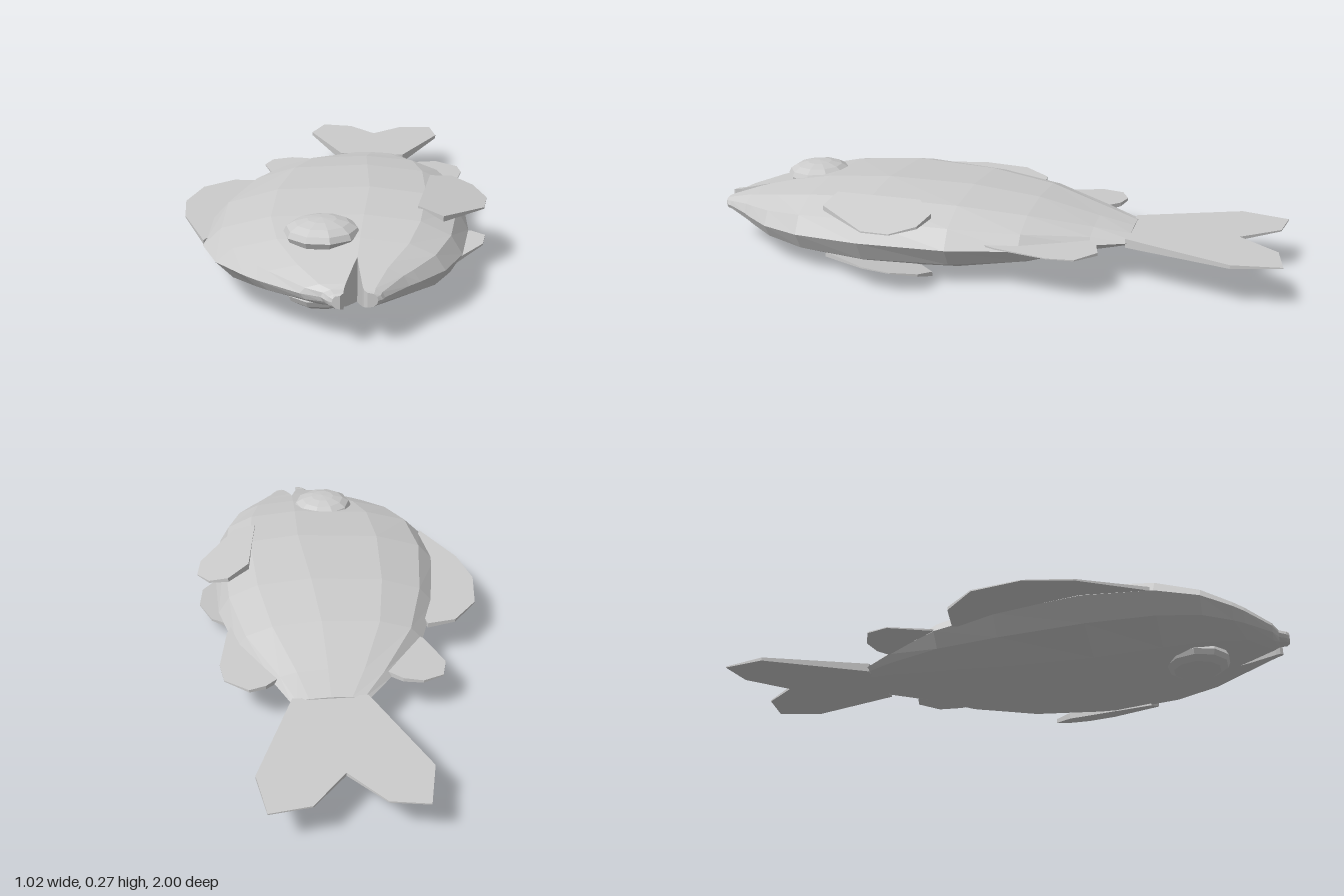
import * as THREE from 'three';

const MID = 0.138; // height of the plane the fish is symmetric about
const mat = new THREE.MeshStandardMaterial({ color: 0xcccccc, flatShading: true, side: THREE.DoubleSide });

// Skin closed rings (counter-clockwise seen from +z, ordered by rising z)
function loft(rings, capStart) {
  const n = rings[0].length, pos = [], idx = [];
  rings.forEach(r => r.forEach(p => pos.push(...p)));
  for (let i = 0; i < rings.length - 1; i++) {
    for (let j = 0; j < n; j++) {
      const a = i * n + j, b = i * n + (j + 1) % n;
      idx.push(a, b, b + n, a, b + n, a + n);
    }
  }
  const last = (rings.length - 1) * n;
  for (let j = 1; j < n - 1; j++) {
    idx.push(last, last + j, last + j + 1);
    if (capStart) idx.push(0, j + 1, j);
  }
  const g = new THREE.BufferGeometry();
  g.setAttribute('position', new THREE.Float32BufferAttribute(pos, 3));
  g.setIndex(idx);
  g.computeVertexNormals();
  return g;
}

// Lens profile from the outer edge to the ridge: [share of width, share of height]
const LENS = [[1, 0], [0.88, 0.5], [0.57, 0.86], [0, 1]];

function bodyRing([z, left, right, ridge, h]) {
  const at = (edge, [u, v], s) => [ridge + (edge - ridge) * u, MID + s * v * h, z];
  return [
    ...LENS.map(p => at(right, p, 1)),
    ...LENS.slice(0, 3).reverse().map(p => at(left, p, 1)),
    ...LENS.slice(1).map(p => at(left, p, -1)),
    ...LENS.slice(1, 3).reverse().map(p => at(right, p, -1)),
  ];
}

// Half lens, closed by a flat wall on the mouth side
function jawRing([z, outer, inner, h]) {
  const at = ([u, v], s) => [inner + (outer - inner) * u, MID + s * v * h, z];
  const ring = [...LENS.map(p => at(p, 1)), ...LENS.slice(1).reverse().map(p => at(p, -1))];
  return outer > inner ? ring : ring.reverse();
}

// Thin plate from an [x, z] outline; height and thickness follow rules in x and z
function plate(outline, thick, height = () => MID) {
  const shape = new THREE.Shape(outline.map(([x, z]) => new THREE.Vector2(x, -z)));
  const g = new THREE.ExtrudeGeometry(shape, { depth: 1, bevelEnabled: false });
  g.rotateX(-Math.PI / 2);
  const p = g.attributes.position;
  for (let i = 0; i < p.count; i++) {
    const x = p.getX(i), z = p.getZ(i);
    p.setY(i, height(x, z) + (p.getY(i) - 0.5) * thick(x, z));
  }
  g.computeVertexNormals();
  return g;
}

export function createModel() {
  const fish = new THREE.Group();
  fish.name = 'fish';
  const add = (name, geometry) => {
    const m = new THREE.Mesh(geometry, mat);
    m.name = name;
    fish.add(m);
    return m;
  };

  // Body: z, left edge, right edge, ridge, half thickness
  add('body', loft([
    [-0.5, -0.045, 0.2, 0.075, 0.02],
    [-0.38, -0.135, 0.255, 0.075, 0.045],
    [-0.17, -0.27, 0.375, 0.08, 0.094],
    [0.06, -0.345, 0.435, 0.1, 0.125],
    [0.36, -0.395, 0.45, 0.13, 0.137],
    [0.59, -0.37, 0.43, 0.13, 0.118],
    [0.73, -0.3, 0.38, 0.13, 0.092],
    [0.825, -0.2, 0.31, 0.13, 0.068],
  ].map(bodyRing), true));

  // Jaws with blunt lips, split by the mouth: z, outer edge, inner edge, half thickness
  add('upperJaw', loft([
    [0.825, -0.2, 0.13, 0.068], [0.86, -0.155, 0.123, 0.059], [0.945, -0.02, 0.108, 0.034],
    [0.965, 0.04, 0.105, 0.026], [0.99, 0.06, 0.106, 0.024], [1, 0.075, 0.098, 0.02],
  ].map(jawRing)));
  add('lowerJaw', loft([
    [0.825, 0.31, 0.13, 0.068], [0.86, 0.28, 0.136, 0.059], [0.95, 0.217, 0.155, 0.03],
    [0.965, 0.212, 0.16, 0.025], [0.975, 0.2, 0.17, 0.022],
  ].map(jawRing)));

  // Tail fin, tapering backwards
  add('tailFin', plate([
    [-0.045, -0.49], [-0.205, -0.84], [-0.17, -1], [-0.05, -0.98], [0.06, -0.85],
    [0.165, -0.98], [0.295, -1], [0.325, -0.84], [0.2, -0.49],
  ], (x, z) => 0.004 + 0.026 * (z + 1) / 0.5, (x, z) => MID + 0.006 * Math.min(1, (-0.49 - z) / 0.5)));

  // Fins along the back and belly, thin at the free edge
  add('dorsalFin', plate([
    [-0.37, 0.58], [-0.48, 0.355], [-0.515, 0.195], [-0.49, 0.025], [-0.4, -0.08], [-0.3, -0.095], [-0.25, 0.2],
  ], x => 0.003 + 0.07 * Math.max(0, x + 0.515), x => MID + 0.014 * Math.min(1, (-0.25 - x) / 0.25)));
  add('rearDorsalFin', plate([
    [-0.2, -0.12], [-0.27, -0.18], [-0.325, -0.32], [-0.305, -0.395], [-0.235, -0.425], [-0.17, -0.41], [-0.1, -0.35],
  ], x => 0.003 + 0.07 * Math.max(0, x + 0.325), () => MID + 0.006));
  add('analFin', plate([
    [0.39, -0.06], [0.405, -0.1], [0.43, -0.28], [0.415, -0.365], [0.335, -0.425], [0.28, -0.41], [0.22, -0.36], [0.3, -0.15],
  ], x => 0.003 + 0.07 * Math.max(0, 0.43 - x), (x, z) => MID + 0.01 + 0.03 * (z + 0.25)));

  // Eyes and side fins, mirrored through the middle plane
  const fin = [[0.29, 0.49], [0.37, 0.51], [0.5, 0.32], [0.51, 0.22], [0.465, 0.14], [0.395, 0.115], [0.32, 0.18]];
  for (const s of [1, -1]) {
    const side = s > 0 ? 'upper' : 'lower';
    const eye = new THREE.SphereGeometry(1, 10, 8);
    eye.scale(0.115, 0.046, 0.115);
    add(side + 'Eye', eye).position.set(0.013, MID + s * 0.09, 0.685);
    add(side + 'PectoralFin', plate(fin,
      x => 0.004 + 0.1 * (0.51 - x),
      (x, z) => MID + s * (0.116 - 0.25 * (x - 0.32) - 0.06 * (z - 0.18))));
  }
  return fish;
}
